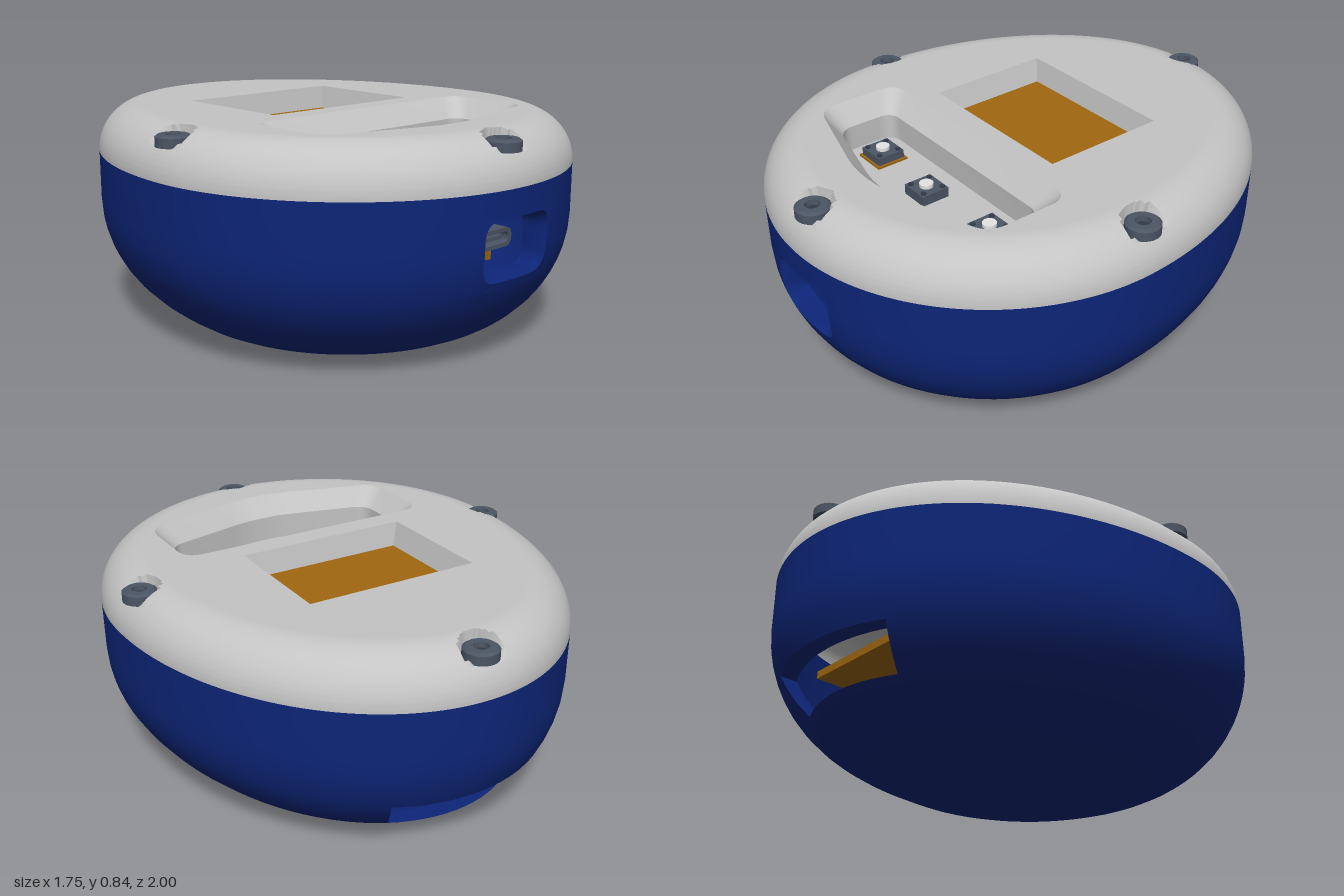
import * as THREE from 'three';
import { toCreasedNormals, mergeVertices } from 'three/addons/utils/BufferGeometryUtils.js';

const mat = (name, color, side = THREE.FrontSide) => {
  const m = new THREE.MeshStandardMaterial({ color, side });
  m.name = name;
  return m;
};
const V2 = (x, y) => new THREE.Vector2(x, y);
const V3 = (x, y, z) => new THREE.Vector3(x, y, z);

// Egg-shaped outline (round front, longer back), inset by d along its normal
function egg(u, d, y) {
  const a = 0.875, b = Math.cos(u) >= 0 ? 0.875 : 1.125;
  const n = V2(Math.sin(u) / a, Math.cos(u) / b).normalize();
  return V3(a * Math.sin(u) - n.x * d, y, 0.125 + b * Math.cos(u) - n.y * d);
}

// Point on the lower shell, whose bottom edge has a large fillet
const R = 0.47;
function basePoint(u, y) {
  const k = Math.max(0, (R - y) / R);
  return egg(u, R * (1 - Math.sqrt(1 - k * k)), y);
}

// Closed 2D loop with rounded corners and divided edges
function roundedLoop(corners, r, divisions = 8) {
  const out = [], n = corners.length;
  const ends = corners.map((c, i) => [corners[(i + n - 1) % n], corners[(i + 1) % n]]
    .map(o => o.clone().sub(c).setLength(r).add(c)));
  corners.forEach((c, i) => {
    const [a, b] = ends[i];
    out.push(...new THREE.QuadraticBezierCurve(a, c, b).getPoints(8));
    for (let k = 1; k < divisions; k++) out.push(b.clone().lerp(ends[(i + 1) % n][0], k / divisions));
  });
  return out;
}
const rect = (x0, x1, y0, y1) => [V2(x0, y0), V2(x1, y0), V2(x1, y1), V2(x0, y1)];

// Surface through closed loops of equal length; skip(row, column) leaves openings
function loft(loops, crease = 0.6, skip = () => false) {
  const n = loops[0].length, pos = [], idx = [];
  loops.forEach(l => l.forEach(p => pos.push(p.x, p.y, p.z)));
  for (let j = 0; j < loops.length - 1; j++) {
    for (let i = 0; i < n; i++) {
      if (skip(j, i)) continue;
      const a = j * n + i, b = j * n + (i + 1) % n;
      idx.push(a, b, b + n, a, b + n, a + n);
    }
  }
  const g = new THREE.BufferGeometry();
  g.setAttribute('position', new THREE.Float32BufferAttribute(pos, 3));
  g.setIndex(idx);
  if (crease) return toCreasedNormals(g, crease);
  g.computeVertexNormals();
  return g;
}

// Flat horizontal face from (x, z) loops
function flat(loop, y, holes = []) {
  const flip = l => l.map(p => V2(p.x, -p.y));
  const s = new THREE.Shape(flip(loop));
  holes.forEach(h => s.holes.push(new THREE.Path(flip(h))));
  return new THREE.ShapeGeometry(s).rotateX(-Math.PI / 2).translate(0, y, 0);
}

export function createModel() {
  const model = new THREE.Group();
  const blue = mat('blueShell', 0x0d2578, THREE.DoubleSide);
  const grey = mat('lightGreyLid', 0xc4c4c4, THREE.DoubleSide);
  const slate = mat('slateMetal', 0x4c5564);
  const dark = mat('darkSocket', 0x333a46);
  const orange = mat('amber', 0xa0670f);
  const white = mat('whiteKnob', 0xe4e4e4);
  const add = (name, geo, m, x = 0, y = 0, z = 0, parent = model) => {
    const mesh = new THREE.Mesh(geo, m);
    mesh.name = name;
    mesh.position.set(x, y, z);
    parent.add(mesh);
    return mesh;
  };
  const box = (w, h, d) => new THREE.BoxGeometry(w, h, d);

  // Lower shell, with openings at the front (port) and low at the back (slot)
  const N = 96, step = 2 * Math.PI / N;
  const ys = [0, 0.004, 0.015, 0.035, 0.06, 0.085, 0.11, 0.16, 0.21, 0.26, 0.3, 0.35, 0.4, 0.47, 0.6, 0.66];
  const rows = ys.map(y => Array.from({ length: N }, (_, i) => basePoint(i * step, y)));
  add('lowerShell', loft(rows, 0, (j, i) =>
    (ys[j] >= 0.3 && ys[j] < 0.6 && (i < 4 || i >= N - 4)) ||
    (ys[j] >= 0.11 && ys[j] < 0.26 && i >= N / 2 - 6 && i < N / 2 + 6)), blue);
  add('shellBottom', flat(rows[0].map(p => V2(p.x, p.z)), 0).scale(1, 1, 1), blue);

  // Port surround: blends from the shell grid to a rounded opening, then goes inwards
  const uyOuter = roundedLoop(rect(-4 * step, 4 * step, 0.3, 0.6), 0);
  const uyHole = roundedLoop(rect(-0.195, 0.195, 0.335, 0.56), 0.075);
  const blend = [0, 0.5, 1].map(t => uyOuter.map((p, i) => {
    const q = p.clone().lerp(uyHole[i], t);
    return basePoint(q.x, q.y);
  }));
  add('portSurround', mergeVertices(loft(blend, 0)), blue);
  const inner = (z) => roundedLoop(rect(-0.147, 0.15, 0.35, 0.543), 0.06).map(p => V3(p.x, p.y, z));
  add('portWall', loft([blend[2], inner(0.945), inner(0.89)]), blue);

  // Connector with hollow mouth, tongue, pins and bracket
  const port = new THREE.Group();
  port.name = 'port';
  model.add(port);
  const mouth = new THREE.Shape(roundedLoop(rect(-0.108, 0.1, 0.415, 0.485), 0.034, 1));
  mouth.holes.push(new THREE.Path(roundedLoop(rect(-0.09, 0.082, 0.43, 0.47), 0.02, 1)));
  add('connectorRim', new THREE.ExtrudeGeometry(mouth, { depth: 0.2, bevelEnabled: false }), slate, 0, 0, 0.68, port);
  add('connectorBack', box(0.19, 0.05, 0.02), dark, 0, 0.45, 0.76, port);
  add('connectorTongue', box(0.13, 0.014, 0.1), slate, -0.004, 0.45, 0.82, port);
  add('bracket', box(0.32, 0.06, 0.05), grey, 0, 0.46, 0.7, port);
  add('bracketBar', box(0.32, 0.035, 0.06), slate, 0, 0.505, 0.72, port);
  for (const x of [-0.032, 0.03]) add('pin', box(0.018, 0.06, 0.02), orange, x, 0.395, 0.83, port);
  add('lowerBoard', box(0.6, 0.03, 1.3), orange, 0, 0.31, -0.07);

  // Back slot walls through the shell thickness
  const slot = [];
  const side = (fn, n) => { for (let k = 0; k < n; k++) slot.push(fn(k / n)); };
  const at = (s, y) => basePoint(Math.PI + s * 6 * step, y);
  side(t => at(-1 + 2 * t, 0.11), 12);
  side(t => at(1, 0.11 + 0.15 * t), 3);
  side(t => at(1 - 2 * t, 0.26), 12);
  side(t => at(-1, 0.26 - 0.15 * t), 3);
  add('slotWall', loft([slot, slot.map(p => V3(p.x, p.y, p.z + 0.07))]), blue);

  // Lid rim: rounded edge with a pocket sunk for each screw
  const screws = [[0, 0.908], [0, -0.912], [0.785, 0.092], [-0.785, 0.092]];
  const rim = Array.from({ length: 41 }, (_, j) => {
    const a = j / 40 * Math.PI / 2;
    return Array.from({ length: 288 }, (_, i) => {
      const p = egg(i / 288 * 2 * Math.PI, 0.18 * (1 - Math.cos(a)), 0.66 + 0.18 * Math.sin(a));
      if (screws.some(([x, z]) => Math.hypot(p.x - x, p.z - z) < 0.074)) p.y = Math.min(p.y, 0.773);
      return p;
    });
  });
  add('lidRim', loft(rim), grey);

  // Lid top with window and button recess
  const win = roundedLoop(rect(-0.36, 0.345, -0.39, 0.12), 0, 1);
  const winIn = roundedLoop(rect(-0.332, 0.325, -0.37, 0.098), 0, 1);
  const tray = (x0, x1, z0, z1, z2, r) => {
    const [a, b, c, d, e, f] = [V2(x0, z0), V2(x1, z0), V2(x1, z1), V2(0.08, z2), V2(-0.08, z2), V2(x0, z1)];
    return roundedLoop([a, b, c, d, e, f], r, 1);
  };
  const trayOut = tray(-0.535, 0.545, 0.215, 0.565, 0.692, 0.078);
  const trayIn = tray(-0.465, 0.475, 0.285, 0.525, 0.622, 0.06);
  const lift = (l, y) => l.map(p => V3(p.x, y, p.y));
  const clean = l => l.filter((p, i) => p.distanceTo(l[(i + 1) % l.length]) > 1e-6);
  add('lidTop', flat(rim[40].map(p => V2(p.x, p.z)), 0.84, [clean(win), trayOut]), grey);
  add('windowBevel', loft([lift(win, 0.84), lift(winIn, 0.745)], 0.3), grey);
  add('screen', box(0.657, 0.008, 0.468), orange, -0.0035, 0.743, -0.136);
  add('trayWall', loft([lift(trayOut, 0.84), lift(trayIn, 0.762), lift(trayIn, 0.66)], 0.5), grey);
  add('trayFloor', flat(trayIn, 0.66), grey);

  // Three push buttons; the outer two show an amber surround
  for (const [x, z] of [[-0.337, 0.412], [-0.005, 0.435], [0.35, 0.412]]) {
    const b = new THREE.Group();
    b.name = 'button';
    b.position.set(x, 0.66, z);
    model.add(b);
    if (Math.abs(x) > 0.1) add('buttonSurround', box(0.138, 0.008, 0.134), orange, 0, 0.004, 0, b);
    add('buttonBody', box(0.118, 0.04, 0.115), slate, 0, 0.02, 0, b);
    for (const sx of [-1, 1]) for (const sz of [-1, 1])
      add('buttonRivet', new THREE.CylinderGeometry(0.01, 0.01, 0.006, 12), dark, sx * 0.042, 0.043, sz * 0.042, b);
    add('buttonKnob', new THREE.CylinderGeometry(0.027, 0.027, 0.014, 24), white, 0, 0.047, 0, b);
  }

  // Screws with a socket in the head
  const head = [[0, 0.794], [0.026, 0.794], [0.028, 0.816], [0.054, 0.816], [0.065, 0.808], [0.065, 0.773], [0, 0.773]]
    .map(([r, y]) => V2(r, y)).reverse();
  const headGeo = toCreasedNormals(new THREE.LatheGeometry(head, 32), 0.5);
  for (const [x, z] of screws) {
    add('screwHead', headGeo, slate, x, 0, z);
    add('screwSocket', new THREE.CylinderGeometry(0.026, 0.026, 0.004, 6), dark, x, 0.795, z);
  }
  return model;
}
